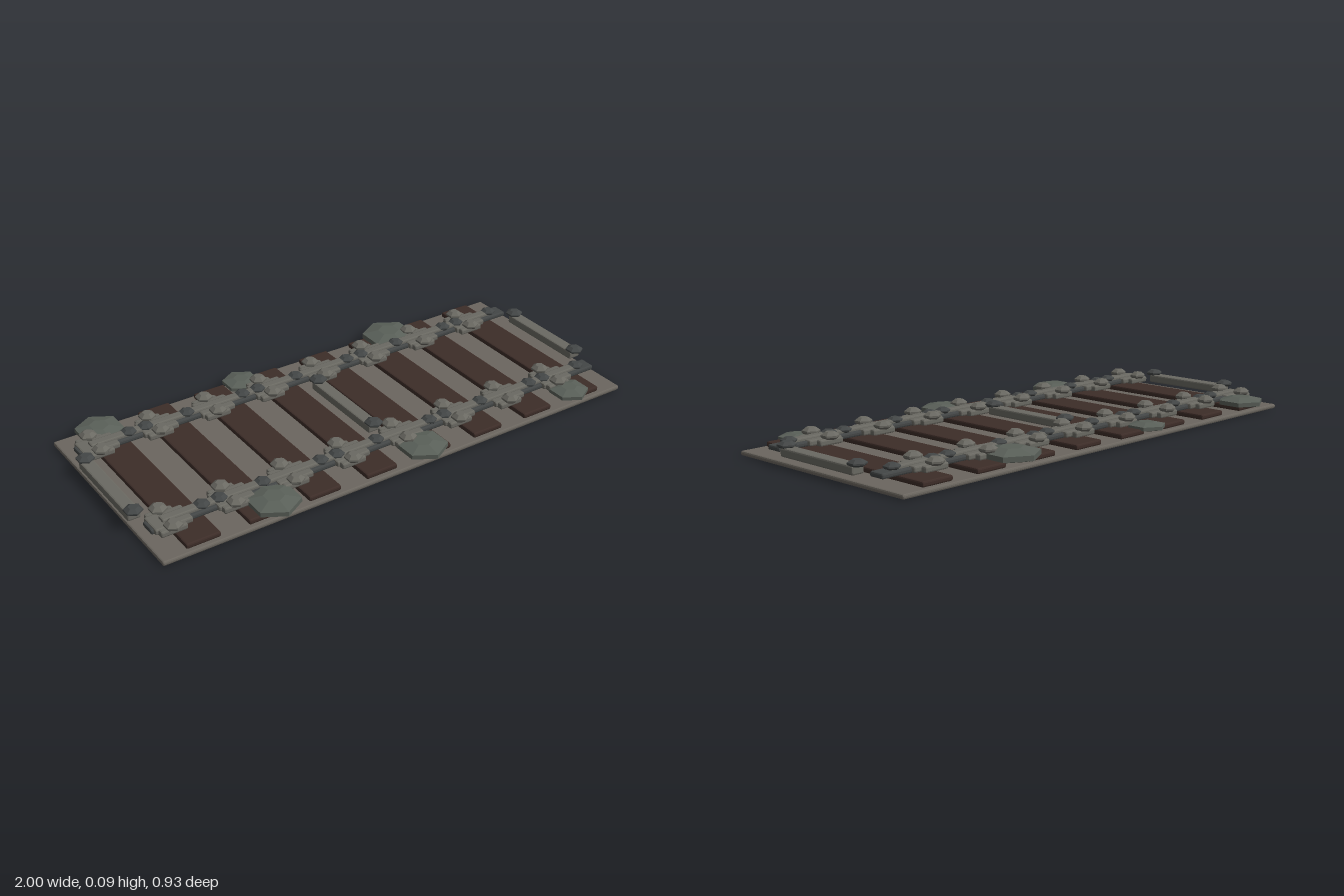
import * as THREE from 'three';
import { RoundedBoxGeometry } from 'three/addons/geometries/RoundedBoxGeometry.js';

const mat = (color) => new THREE.MeshStandardMaterial({ color, flatShading: true });

export function createModel() {
  const model = new THREE.Group();
  const gravel = mat(0x6b665f), wood = mat(0x3d2d28), iron = mat(0x434646);
  const steel = mat(0x6a6962), stone = mat(0x5a6059);

  function add(name, geometry, material, x, y, z) {
    const mesh = new THREE.Mesh(geometry, material);
    mesh.name = name;
    mesh.position.set(x, y, z);
    model.add(mesh);
    return mesh;
  }
  // Bevelled block given by its bottom and top heights
  function block(name, material, w, d, y0, y1, x, z) {
    const r = Math.min(0.006, (y1 - y0) * 0.35);
    return add(name, new RoundedBoxGeometry(w, y1 - y0, d, 1, r), material, x, (y0 + y1) / 2, z);
  }
  // Six-sided turned solid; profile is [radius, height] from bottom to top
  function hex(name, material, profile, x, y, z) {
    const points = profile.map(([r, h]) => new THREE.Vector2(r, h));
    return add(name, new THREE.LatheGeometry(points, 6), material, x, y, z);
  }
  const bolt = (name, material, r, h, x, y, z) => hex(name, material,
    [[0, 0], [r * 0.75, 0], [r, h * 0.3], [r, h * 0.55], [r * 0.5, h], [0, h]], x, y, z);

  // Track bed
  block('trackBed', gravel, 1.98, 0.855, 0, 0.017, 0, 0);

  // Wooden sleepers
  const spacing = 0.237;
  for (let i = 0; i < 8; i++) {
    block('sleeper', wood, 0.13, 0.82, 0.017, 0.037, (i - 3.5) * spacing, 0);
  }

  for (const side of [-1, 1]) {
    const z = side * 0.27;
    // Rail: wide foot with a narrower bright head
    block('railFoot', iron, 1.93, 0.063, 0.037, 0.056, 0, z);
    block('railHead', steel, 1.83, 0.036, 0.05, 0.068, 0, z);

    for (let i = 0; i < 8; i++) {
      // Rail chair with a spike on either side of the rail
      const x = -0.895 + i * spacing;
      block('railChair', steel, 0.1, 0.13, 0.035, 0.058, x, z);
      block('jointPlate', steel, 0.14, 0.09, 0.038, 0.06, x + 0.01, z);
      for (const edge of [-1, 1]) {
        bolt('spike', steel, 0.033, 0.026, x, 0.056, z + edge * 0.054);
      }
      // Dark bolt on the rail between chairs
      bolt('railBolt', iron, 0.03, 0.02, x + 0.135, 0.056, z);
      if (i % 2) bolt('railBolt', iron, 0.03, 0.02, x - 0.035, 0.056, z);
    }
  }

  // Cross ties between the rails, bolted at both ends
  for (const x of [-0.97, 0, 0.97]) {
    block('crossTie', steel, 0.05, 0.38, 0.035, 0.067, x, 0);
    for (const side of [-1, 1]) {
      bolt('crossTieBolt', iron, 0.034, 0.022, x, 0.064, side * 0.185);
    }
  }

  // Flat stones along the edges: x, z, radius
  const stones = [
    [-0.83, -0.37, 0.09], [-0.225, -0.385, 0.072], [0.455, -0.36, 0.105],
    [-0.535, 0.365, 0.095], [0.085, 0.37, 0.092], [0.78, 0.37, 0.075],
  ];
  for (const [x, z, r] of stones) {
    hex('stone', stone, [[0, 0], [r * 0.5, 0], [r, r * 0.12], [r, r * 0.3], [r * 0.4, r * 0.44], [0, r * 0.44]],
      x, 0.024, z);
  }
  return model;
}
